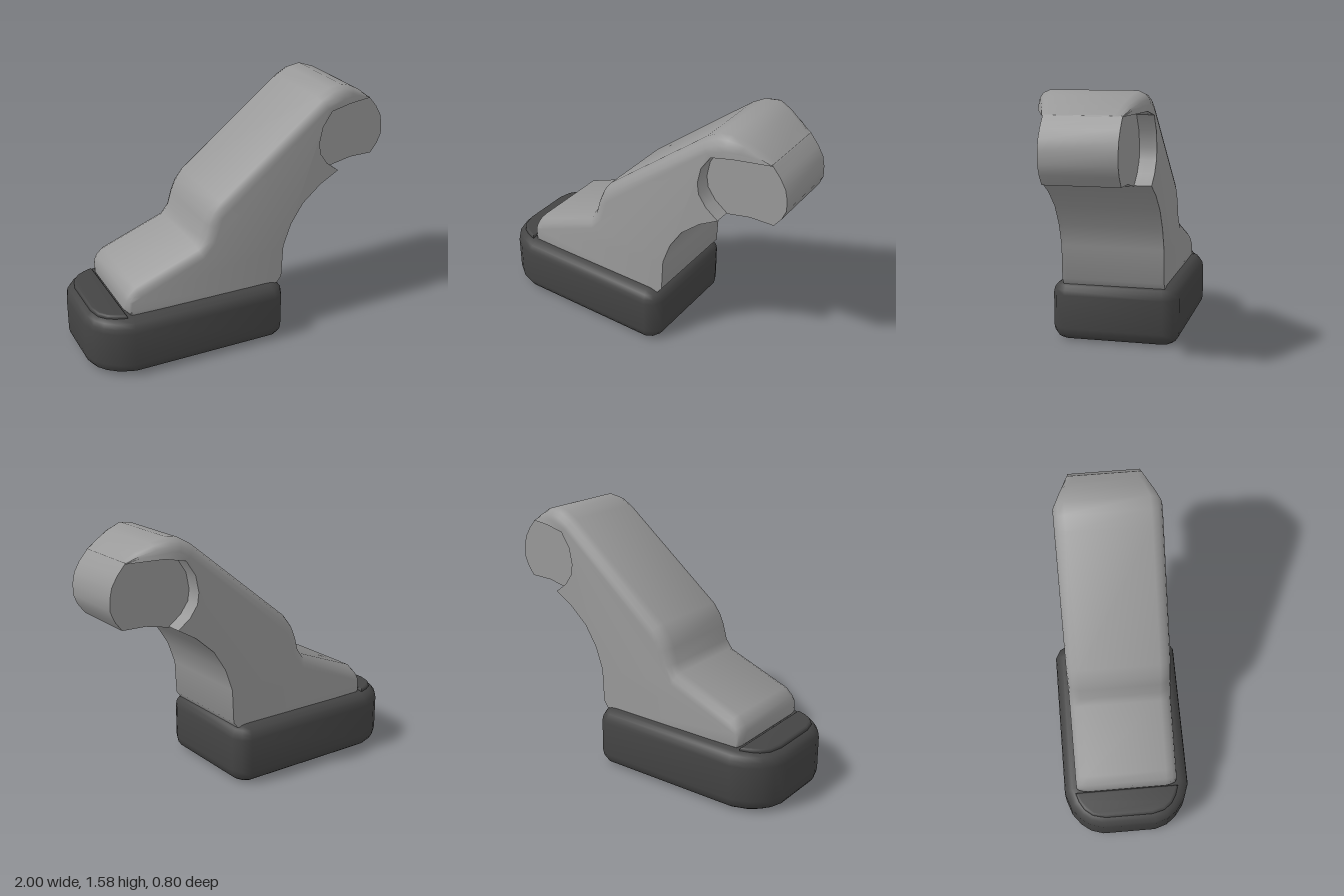
import * as THREE from 'three';
import { toCreasedNormals } from 'three/addons/utils/BufferGeometryUtils.js';

// Side profiles run clockwise as [x, y, edge rounding weight]
const armProfile = [
  [-0.75, 0.36, 0.2], [-0.78, 0.39, 0.4], [-0.78, 0.46, 0.5], [-0.765, 0.5, 0.7], [-0.72, 0.55, 1],
  [-0.31, 0.71, 1], [-0.275, 0.76, 1], [-0.25, 0.85, 1], [-0.22, 0.92, 1], [-0.17, 0.985, 1],
  [0.5, 1.52, 1], [0.58, 1.565, 1], [0.66, 1.578, 1], [0.75, 1.55, 0.8], [0.83, 1.505, 0.4],
  [0.9, 1.45, 0], [0.7, 1.467, 0], [0.57, 1.44, 0], [0.51, 1.35, 0], [0.49, 1.25, 0],
  [0.5, 1.18, 0], [0.55, 1.11, 0], [0.63, 1.05, 0], [0.51, 0.98, 0], [0.39, 0.875, 0],
  [0.31, 0.75, 0], [0.26, 0.61, 0], [0.25, 0.4, 0], [0.22, 0.36, 0],
];
const headProfile = [
  [0.4, 1.1, 0], [0.4, 1.38, 0], [0.57, 1.45, 0], [0.7, 1.475, 0], [0.895, 1.455, 0],
  [0.95, 1.39, 0], [0.985, 1.33, 0], [0.998, 1.27, 0], [1.0, 1.2, 0],
  [0.975, 1.14, 0], [0.93, 1.08, 0], [0.78, 1.077, 0], [0.63, 1.045, 0],
];

// Lofts a profile across z slices [z, inset]; the ends are closed
function loft(profile, slices, widthAt) {
  const n = profile.length, positions = [], index = [];
  for (const [z, inset] of slices) {
    profile.forEach(([x, y, w], i) => {
      const p = profile[(i + n - 1) % n], q = profile[(i + 1) % n];
      const dx = q[0] - p[0], dy = q[1] - p[1], len = Math.hypot(dx, dy);
      const px = x + (dy / len) * inset * w, py = y - (dx / len) * inset * w;
      positions.push(px, py, z * widthAt(x));
    });
  }
  for (let k = 0; k < slices.length - 1; k++) {
    for (let i = 0; i < n; i++) {
      const j = (i + 1) % n, a = k * n + i, b = k * n + j;
      index.push(a, b + n, b, a, a + n, b + n);
    }
  }
  // End caps
  const point = (i, ring) => new THREE.Vector2(positions[(ring * n + i) * 3], positions[(ring * n + i) * 3 + 1]);
  const last = slices.length - 1;
  for (const ring of [0, last]) {
    const pts = profile.map((_, i) => point(i, ring));
    for (const [a, b, c] of THREE.ShapeUtils.triangulateShape(pts, [])) {
      const ccw = THREE.ShapeUtils.area([pts[a], pts[b], pts[c]]) > 0;
      const o = ring * n;
      if (ccw === (ring === last)) index.push(o + a, o + b, o + c);
      else index.push(o + a, o + c, o + b);
    }
  }
  const geometry = new THREE.BufferGeometry();
  geometry.setAttribute('position', new THREE.Float32BufferAttribute(positions, 3));
  geometry.setIndex(index);
  return toCreasedNormals(geometry, 0.75);
}

// Rounded plan outline extruded upwards from y0 to y1
function pad(half, y0, y1, bevel) {
  const outline = [...half, ...half.map(([x, z]) => [x, -z]).reverse()];
  const shape = new THREE.Shape(outline.map(([x, z]) => new THREE.Vector2(x, z)));
  const geometry = new THREE.ExtrudeGeometry(shape, {
    depth: y1 - y0 - 2 * bevel, bevelEnabled: true, bevelSize: bevel,
    bevelThickness: bevel, bevelOffset: -bevel, bevelSegments: 4,
  });
  geometry.rotateX(-Math.PI / 2).translate(0, y0 + bevel, 0);
  return toCreasedNormals(geometry, 0.75);
}

export function createModel() {
  const group = new THREE.Group();
  const grey = new THREE.MeshStandardMaterial({ name: 'grey body', color: 0x999999 });
  const dark = new THREE.MeshStandardMaterial({ name: 'dark base', color: 0x444444 });
  const add = (name, geometry, material) => {
    const mesh = new THREE.Mesh(geometry, material);
    mesh.name = name;
    group.add(mesh);
  };

  // Base with a broad rounded toe and a low raised lip around it
  const toe = [[-1, 0.17], [-0.975, 0.25], [-0.93, 0.31], [-0.86, 0.365], [-0.76, 0.4]];
  add('base', pad([...toe, [0.17, 0.4], [0.225, 0.37], [0.255, 0.31]], 0, 0.372, 0.08), dark);
  const lip = [[-0.95, 0.15], [-0.93, 0.23], [-0.89, 0.28], [-0.84, 0.31], [-0.78, 0.33]];
  add('baseLip', pad(lip, 0.35, 0.388, 0.016), dark);

  // Wide arm, rounded along its upper edges; its hood tapers towards the head
  const slices = [[-0.32, 0.075], [-0.312, 0.045], [-0.29, 0.018], [-0.25, 0]];
  const mirrored = slices.map(([z, inset]) => [-z, inset]).reverse();
  const taper = (x) => 1 - 0.3 * THREE.MathUtils.clamp((x - 0.68) / 0.22, 0, 1);
  add('arm', loft(armProfile, [...slices, ...mirrored], taper), grey);

  // Narrow head set into the arm
  add('head', loft(headProfile, [[-0.22, 0], [0.22, 0]], () => 1), grey);
  return group;
}
